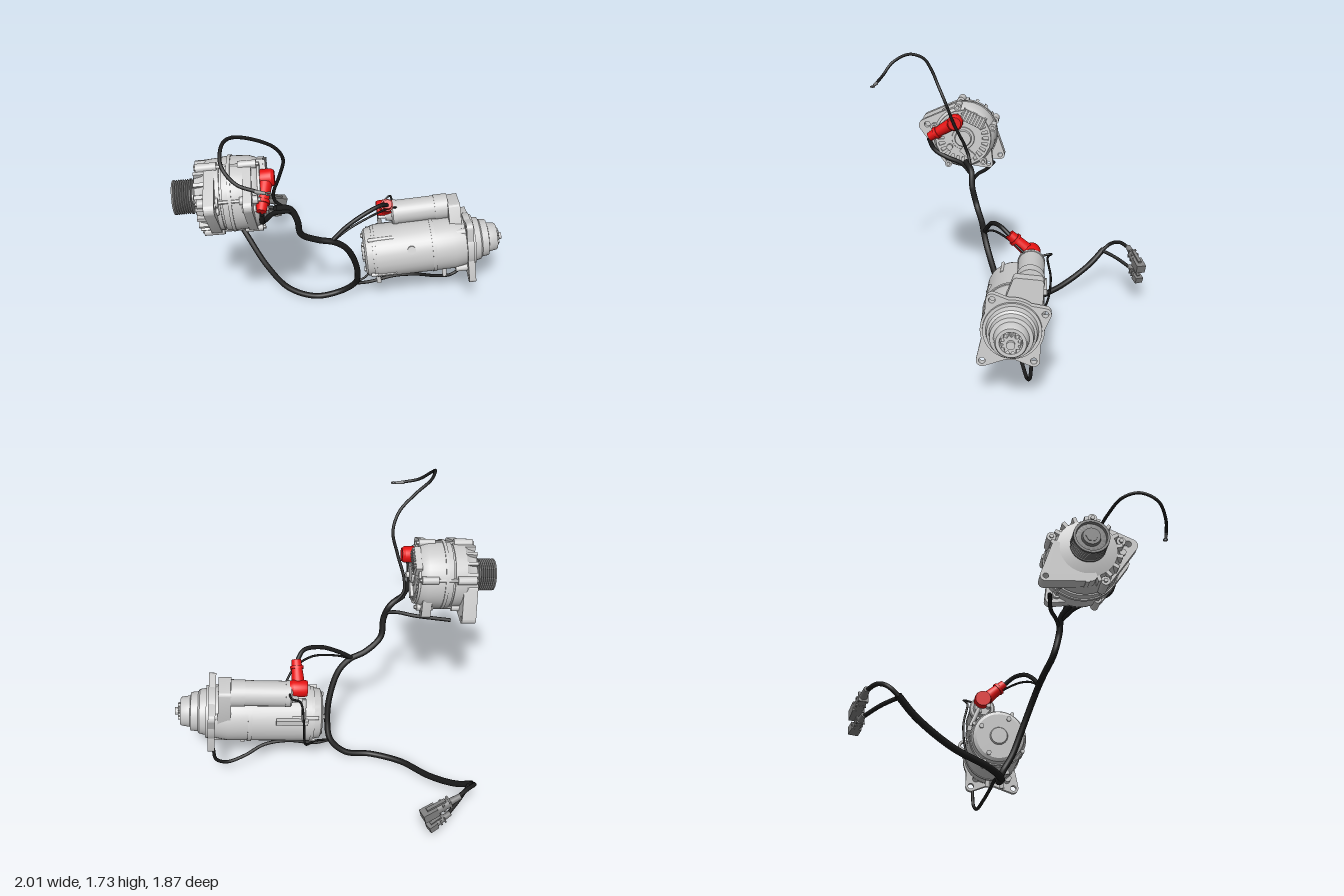
import * as THREE from 'three';
import { toCreasedNormals } from 'three/addons/utils/BufferGeometryUtils.js';

const mat = (color) => new THREE.MeshStandardMaterial({ color, side: THREE.DoubleSide });
const grey = mat(0xcccccc), dark = mat(0x808080), black = mat(0x1c1c1c), red = mat(0xe81212);
const V = (p) => new THREE.Vector3(...p);

function add(parent, name, geo, material = grey) {
  const m = new THREE.Mesh(geo, material);
  m.name = name;
  parent.add(m);
  return m;
}
// Group whose local x axis runs along dir, y roughly up
function frame(name, origin, dir) {
  const g = new THREE.Group(), x = V(dir).normalize();
  const z = x.clone().cross(V([0, 1, 0])).normalize(), y = z.clone().cross(x);
  g.applyMatrix4(new THREE.Matrix4().makeBasis(x, y, z).setPosition(...origin));
  g.name = name;
  return g;
}
// Turned part along local x; profile is [s, radius], offset sideways by u (towards -z) and v (up)
function turned(parent, name, profile, material = grey, u = 0, v = 0, sides = 48) {
  const geo = new THREE.LatheGeometry(profile.map(([s, r]) => new THREE.Vector2(r, s)), sides);
  geo.rotateZ(-Math.PI / 2).translate(0, v, -u);
  return add(parent, name, toCreasedNormals(geo, 0.5), material);
}
const disc = (parent, name, s0, s1, r, u = 0, v = 0, material = grey, sides = 20) =>
  turned(parent, name, [[s0, 0], [s0, r], [s1, r], [s1, 0]], material, u, v, sides);
// Extrude a (u, v) shape along local x from s0 to s1
function extrude(parent, name, shape, s0, s1) {
  const geo = new THREE.ExtrudeGeometry(shape, { depth: s1 - s0, bevelEnabled: false, curveSegments: 10 });
  geo.rotateY(Math.PI / 2).translate(s0, 0, 0);
  return add(parent, name, toCreasedNormals(geo, 0.5));
}
// Convex plate with rounded corners [u, v], counterclockwise, and round holes [u, v, r]
function plate(parent, name, pts, r, s0, s1, holes = []) {
  const shape = new THREE.Shape(), n = pts.length;
  const normal = (a, b) => Math.atan2(b[1] - a[1], b[0] - a[0]) - Math.PI / 2;
  pts.forEach((p, i) => shape.absarc(...p, r, normal(pts[(i + n - 1) % n], p), normal(p, pts[(i + 1) % n]), false));
  for (const [u, v, hr] of holes) shape.holes.push(new THREE.Path().absarc(u, v, hr, 0, Math.PI * 2, true));
  return extrude(parent, name, shape, s0, s1);
}
function box(parent, name, size, pos, material = grey, tilt = 0) {
  const m = add(parent, name, new THREE.BoxGeometry(...size), material);
  m.position.set(...pos);
  m.rotation.x = tilt;
}
function rod(parent, name, a, b, r0, r1, material = grey) {
  const d = V(b).sub(V(a));
  const m = add(parent, name, new THREE.CylinderGeometry(r1, r0, d.length(), 24), material);
  m.position.copy(V(a)).addScaledVector(d, 0.5);
  m.quaternion.setFromUnitVectors(V([0, 1, 0]), d.normalize());
}
const cable = (parent, name, r, pts) => add(parent, name,
  new THREE.TubeGeometry(new THREE.CatmullRomCurve3(pts.map(V)), pts.length * 10, r, 12), black);

function alternator() {
  const g = frame('alternator', [-0.99, 1.155, 0.43], [1, 0.06, -0.17]);
  // Ribbed pulley on its shaft
  const ribs = [[0, 0], [0, 0.05], [0.02, 0.055], [0.02, 0.085], [0, 0.088], [0, 0.102]];
  for (let i = 0; i < 7; i++) ribs.push([0.01 + i * 0.013, 0.103], [0.0165 + i * 0.013, 0.09]);
  turned(g, 'pulley', [...ribs, [0.102, 0.104], [0.11, 0.104], [0.11, 0]], dark);
  disc(g, 'pulley nut', -0.004, 0.03, 0.035, 0, 0, dark, 6);
  disc(g, 'shaft', 0.1, 0.16, 0.05);
  // Housing: drive end, stator, slip ring end
  turned(g, 'housing', [[0.125, 0], [0.125, 0.1], [0.145, 0.175], [0.19, 0.19], [0.215, 0.208], [0.29, 0.213],
    [0.29, 0.204], [0.302, 0.204], [0.302, 0.216], [0.335, 0.219], [0.335, 0.226], [0.355, 0.226], [0.355, 0.219],
    [0.455, 0.214], [0.492, 0.2], [0.505, 0.19], [0.505, 0]]);
  for (let i = 0; i < 18; i++) {
    const a = (i / 18) * Math.PI * 2;
    box(g, 'vent fin', [0.07, 0.05, 0.022], [0.18, Math.cos(a) * 0.183, Math.sin(a) * 0.183], grey, a);
  }
  // Clamp bolts round the rim
  for (const a of [0.35, 1.75, 2.8, 4.2, 5.4]) {
    const u = Math.cos(a) * 0.212, v = Math.sin(a) * 0.212;
    disc(g, 'clamp boss', 0.16, 0.28, 0.027, u, v);
    disc(g, 'clamp boss', 0.4, 0.505, 0.024, u, v);
    disc(g, 'clamp bolt', 0.15, 0.52, 0.013, u, v, grey, 6);
  }
  // Slotted rear cover
  const cover = new THREE.Shape().absarc(0, 0, 0.19, 0, Math.PI * 2, false);
  for (let i = 0; i < 24; i++) {
    const at = (r, da) => [r * Math.cos(i * Math.PI / 12 + da), r * Math.sin(i * Math.PI / 12 + da)];
    cover.holes.push(new THREE.Path().moveTo(...at(0.13, -0.06)).lineTo(...at(0.13, 0.06))
      .lineTo(...at(0.172, 0.07)).lineTo(...at(0.172, -0.07)));
  }
  extrude(g, 'rear cover', cover, 0.505, 0.52);
  turned(g, 'bearing cap', [[0.515, 0.08], [0.525, 0.075], [0.525, 0.058], [0.54, 0.052], [0.54, 0]]);
  // Regulator with cooling ribs
  const reg = new THREE.Group();
  reg.name = 'regulator';
  reg.position.set(0.52, 0.135, -0.07);
  reg.rotation.x = -0.45;
  g.add(reg);
  box(reg, 'regulator base', [0.04, 0.08, 0.17], [0, 0, 0]);
  for (let i = 0; i < 8; i++) box(reg, 'regulator rib', [0.015, 0.07, 0.01], [0.025, 0, -0.074 + i * 0.021]);
  disc(g, 'output terminal', 0.515, 0.55, 0.022, -0.03, 0.12);
  disc(g, 'field terminal', 0.515, 0.55, 0.02, -0.09, -0.06);
  box(g, 'brush holder', [0.03, 0.05, 0.1], [0.525, -0.1, -0.03], grey, -0.7);
  // Mounting ears on both housings, lugs below
  for (const [s0, s1] of [[0.205, 0.265], [0.425, 0.475]]) {
    plate(g, 'mounting ear', [[-0.268, 0.075], [-0.11, -0.15], [-0.06, 0.165]], 0.04, s0, s1, [[-0.25, 0.082, 0.02]]);
    disc(g, 'ear rib', s0 - 0.015, s1 + 0.015, 0.02, -0.215, 0.02);
  }
  plate(g, 'lower lug', [[0.235, -0.185], [0.17, 0], [-0.02, -0.17]], 0.032, 0.14, 0.23, [[0.235, -0.185, 0.016]]);
  plate(g, 'lower lug', [[0.17, -0.185], [0.15, 0], [0, -0.16]], 0.03, 0.42, 0.48, [[0.17, -0.185, 0.015]]);
  return g;
}

function starter() {
  const g = frame('starter motor', [0.08, 0.403, -0.155], [1, 0.1, -0.18]);
  turned(g, 'motor body', [[0, 0], [0, 0.14], [0.012, 0.16], [0.055, 0.168], [0.055, 0.175], [0.075, 0.175], [0.075, 0.18],
    [0.45, 0.182], [0.45, 0.187], [0.475, 0.187], [0.475, 0.181], [0.6, 0.181], [0.69, 0.165], [0.69, 0]]);
  turned(g, 'rear bearing cap', [[-0.015, 0], [-0.015, 0.05], [0.01, 0.06]]);
  for (let i = 0; i < 4; i++) {
    const a = 0.5 + i * Math.PI / 2, u = Math.cos(a), v = Math.sin(a);
    disc(g, 'through bolt', -0.012, 0.03, 0.016, u * 0.125, v * 0.125, grey, 6);
    disc(g, 'body rib', 0.03, 0.2, 0.012, u * 0.175, v * 0.175, grey, 12);
  }
  rod(g, 'side boss', [0.31, 0.08, 0.14], [0.31, 0.09, 0.165], 0.028, 0.028);
  // Round mounting flange with four tapered ears
  disc(g, 'mounting flange', 0.68, 0.725, 0.183, 0, 0, grey, 48);
  for (const [u, v] of [[-0.17, -0.19], [0.125, -0.185], [0.185, 0.1], [-0.115, 0.18]]) {
    const a = Math.atan2(v, u), side = (d) => [0.13 * Math.cos(a + d), 0.13 * Math.sin(a + d)];
    plate(g, 'flange ear', [[u, v], side(0.75), side(-0.75)], 0.035, 0.68, 0.725, [[u, v, 0.019]]);
    disc(g, 'flange web', 0.6, 0.69, 0.024, u * 0.72, v * 0.72);
  }
  plate(g, 'lever housing', [[-0.07, 0.02], [0.14, 0.02], [0.15, 0.255], [0.02, 0.265]], 0.025, 0.585, 0.665);
  // Nose and pinion
  turned(g, 'nose', [[0.69, 0.172], [0.74, 0.168], [0.74, 0.15], [0.78, 0.142], [0.79, 0.128], [0.835, 0.122], [0.84, 0.1],
    [0.89, 0.092], [0.9, 0.085], [0.9, 0.065], [0.87, 0.06], [0.87, 0]]);
  const gear = new THREE.Shape();
  for (let i = 0; i < 44; i++) {
    const a = (i / 44) * Math.PI * 2, r = i % 4 < 2 ? 0.056 : 0.042;
    gear[i ? 'lineTo' : 'moveTo'](r * Math.cos(a), r * Math.sin(a));
  }
  extrude(g, 'pinion', gear, 0.86, 0.915);
  disc(g, 'pinion shaft', 0.89, 0.934, 0.024);
  // Solenoid above the motor
  const u = 0.095, v = 0.232;
  turned(g, 'solenoid', [[0.17, 0], [0.17, 0.05], [0.21, 0.058], [0.21, 0.076], [0.22, 0.084], [0.25, 0.084], [0.25, 0.08],
    [0.5, 0.08], [0.5, 0.084], [0.59, 0.084], [0.59, 0]], grey, u, v, 36);
  for (const [du, dv] of [[0.03, 0.03], [0.02, -0.035], [-0.035, 0]])
    disc(g, 'solenoid terminal', 0.12, 0.18, 0.014, u + du, v + dv, grey, 12);
  box(g, 'solenoid saddle', [0.36, 0.12, 0.07], [0.4, 0.14, -0.075], grey, -0.37);
  box(g, 'motor lead', [0.2, 0.035, 0.03], [0.2, 0.07, -0.178]);
  rod(g, 'motor lead end', [0.13, 0.07, -0.178], [0.13, 0.21, -0.12], 0.014, 0.014);
  // Studs underneath
  for (const [s, z] of [[0.08, 0.05], [0.53, 0.06], [0.5, -0.02]])
    rod(g, 'lower stud', [s, -0.15, z], [s, -0.225, z * 1.3], 0.017, 0.015);
  return g;
}

// Rounded plug with socket, ridges and latch, along local x
function connector(name, a, b, w, h) {
  const d = V(b).sub(V(a)), L = d.length(), g = frame(name, a, d.toArray());
  rod(g, 'wire seal', [-0.01, 0, 0], [L * 0.35, 0, 0], w * 0.27, w * 0.36, dark);
  rod(g, 'plug shell', [L * 0.25, 0, 0], [L * 0.7, 0, 0], h * 0.42, h * 0.48, dark);
  box(g, 'socket shell', [L * 0.38, h * 0.9, w], [L * 0.81, 0, 0], dark);
  box(g, 'latch', [L * 0.5, h * 0.25, w * 0.35], [L * 0.6, h * 0.5, 0], dark);
  for (const x of [0.27, 0.45]) box(g, 'ridge', [L * 0.05, h * 0.9, w * 0.85], [L * x, 0, 0], dark);
  return g;
}

// Main loom and its branches
function wiring() {
  const g = new THREE.Group();
  g.name = 'wiring loom';
  cable(g, 'main cable', 0.02, [[-0.42, 1.04, 0.31], [-0.34, 1, 0.25], [-0.3, 0.91, 0.235], [-0.285, 0.78, 0.2], [-0.19, 0.7, 0.14],
    [-0.09, 0.66, 0.1], [-0.02, 0.59, 0.06], [0.035, 0.42, -0.01], [0.045, 0.26, -0.07], [0.02, 0.15, -0.125], [-0.08, 0.06, -0.14],
    [-0.25, 0.025, -0.11], [-0.45, 0.03, -0.17], [-0.64, 0.08, -0.345], [-0.8, 0.19, -0.515], [-0.89, 0.28, -0.6]]);
  cable(g, 'upper branch', 0.01, [[-0.36, 1.01, 0.26], [-0.42, 1.08, 0.29], [-0.42, 1.16, 0.32], [-0.37, 1.31, 0.375],
    [-0.335, 1.45, 0.415], [-0.37, 1.56, 0.475], [-0.47, 1.65, 0.555], [-0.56, 1.703, 0.64], [-0.588, 1.717, 0.75],
    [-0.57, 1.66, 0.86], [-0.49, 1.585, 0.905], [-0.38, 1.553, 0.915]]);
  cable(g, 'alternator power branch', 0.015, [[-0.33, 0.99, 0.25], [-0.42, 1.025, 0.34], [-0.45, 1.05, 0.45], [-0.45, 1.1, 0.54], [-0.44, 1.18, 0.575]]);
  cable(g, 'alternator side branch', 0.012, [[-0.31, 0.95, 0.235], [-0.38, 0.968, 0.22], [-0.5, 0.965, 0.192], [-0.73, 0.945, 0.19]]);
  cable(g, 'starter power branch', 0.014, [[-0.11, 0.665, 0.105], [-0.02, 0.75, 0.055], [0.09, 0.82, 0], [0.19, 0.845, -0.075], [0.23, 0.8, -0.15]]);
  cable(g, 'starter signal branch', 0.007, [[-0.1, 0.665, 0.1], [0, 0.73, 0.04], [0.14, 0.78, -0.05], [0.24, 0.77, -0.16], [0.285, 0.72, -0.25]]);
  cable(g, 'starter rear branch', 0.007, [[0.02, 0.15, -0.125], [0.11, 0.19, -0.19], [0.16, 0.3, -0.35], [0.16, 0.5, -0.39],
    [0.18, 0.66, -0.37], [0.23, 0.71, -0.4], [0.25, 0.7, -0.34]]);
  cable(g, 'lower branch', 0.011, [[0.02, 0.15, -0.125], [0.12, 0.145, -0.16], [0.3, 0.185, -0.2], [0.45, 0.175, -0.24],
    [0.57, 0.125, -0.3], [0.68, 0.105, -0.35], [0.745, 0.15, -0.38], [0.755, 0.25, -0.39]]);
  cable(g, 'first plug branch', 0.013, [[-0.88, 0.27, -0.59], [-0.9, 0.325, -0.65], [-0.86, 0.36, -0.72], [-0.79, 0.352, -0.795]]);
  cable(g, 'second plug branch', 0.012, [[-0.88, 0.275, -0.59], [-0.82, 0.255, -0.7], [-0.74, 0.222, -0.815]]);
  // Ring terminal on the upper branch
  rod(g, 'terminal barrel', [-0.39, 1.553, 0.915], [-0.335, 1.547, 0.916], 0.012, 0.008, dark);
  const ring = add(g, 'ring terminal', new THREE.TorusGeometry(0.012, 0.005, 8, 20), dark);
  ring.rotation.x = Math.PI / 2;
  ring.position.set(-0.32, 1.546, 0.916);
  return g;
}

// Red terminal boot: round head along dir, sleeve from neck to end
function boot(name, head, dir, len, r, neck, end) {
  const g = new THREE.Group(), cap = frame('boot head', head, dir);
  g.name = name;
  turned(cap, 'boot cap', [[0, 0], [0, r * 0.9], [len * 0.2, r], [len * 0.8, r], [len, r * 0.8], [len, 0]], red, 0, 0, 28);
  g.add(cap);
  const at = (t) => V(neck).lerp(V(end), t).toArray();
  rod(g, 'boot sleeve', neck, end, 0.042, 0.03, red);
  rod(g, 'boot collar', at(0.6), at(0.72), 0.042, 0.042, red);
  return g;
}

export function createModel() {
  const model = new THREE.Group();
  model.name = 'charging and starting harness';
  model.add(alternator(), starter(), wiring(),
    connector('first plug', [-0.8, 0.352, -0.79], [-0.59, 0.285, -0.9], 0.065, 0.068),
    connector('second plug', [-0.75, 0.225, -0.81], [-0.63, 0.18, -0.89], 0.055, 0.05),
    boot('alternator boot', [-0.485, 1.3, 0.395], [1, 0.06, -0.17], 0.09, 0.053, [-0.445, 1.285, 0.42], [-0.445, 1.19, 0.57]),
    boot('starter boot', [0.15, 0.69, -0.265], [1, 0.1, -0.18], 0.11, 0.054, [0.21, 0.715, -0.245], [0.23, 0.815, -0.14]));
  return model;
}
